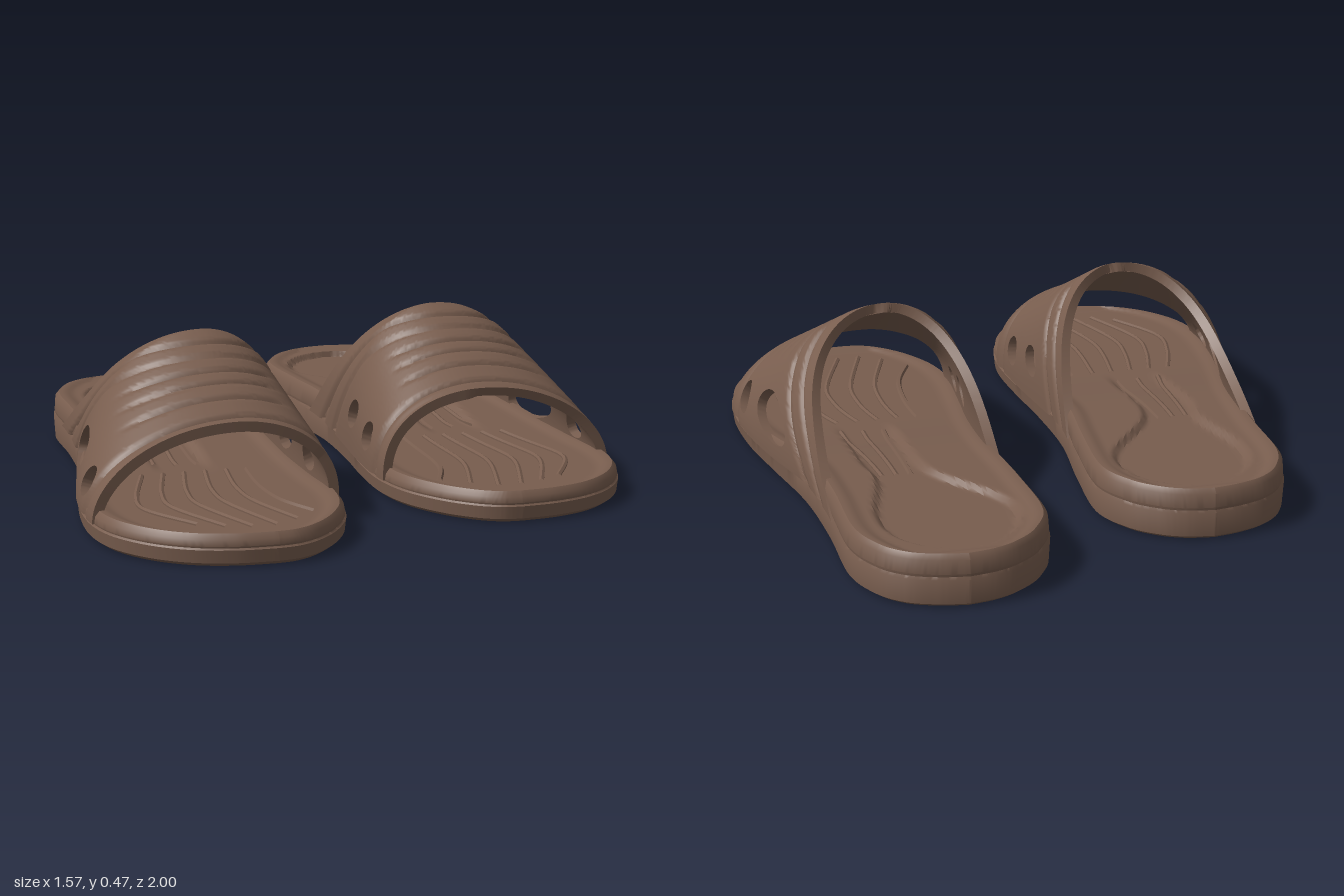
import * as THREE from 'three';
import { toCreasedNormals } from 'three/addons/utils/BufferGeometryUtils.js';

const rubber = new THREE.MeshStandardMaterial({ color: 0x785d4e });
rubber.name = 'brown rubber';

const ss = (x, a, b) => THREE.MathUtils.smoothstep(x, a, b);
const lerp = THREE.MathUtils.lerp;
const clamp = THREE.MathUtils.clamp;

// Footprint: inner and outer edge at stations from heel tip to toe tip
const Z = [-1, -.985, -.95, -.88, -.75, -.5, -.25, 0, .2, .4, .55, .67, .75, .79, .8];
const XL = [.37, .29, .22, .15, .097, .108, .13, .12, .1, .09, .115, .175, .245, .31, .37];
const XR = [.37, .45, .532, .597, .643, .65, .672, .725, .765, .78, .755, .685, .59, .48, .37];
const N = 160;
const edge = (xs) => new THREE.SplineCurve(xs.map((x, i) => new THREE.Vector2(x, Z[i]))).getPoints(N);
const left = edge(XL), right = edge(XR);
function edgeX(side, z) {
  let i = 1;
  while (i < N && side[i].y < z) i++;
  const a = side[i - 1], b = side[i];
  return lerp(a.x, b.x, clamp((z - a.y) / (b.y - a.y), 0, 1));
}

// Height of the rim, and of the footbed with its heel recess
const rimY = (z) => .088 + .062 * (1 - ss(z, -.4, .3));
function bedY(x, z) {
  const d = Math.min(x - edgeX(left, z), edgeX(right, z) - x, z + 1, .8 - z);
  const half = z < -.7 ? .195 * Math.sqrt(Math.max(0, 1 - ((z + .7) / .225) ** 2))
    : lerp(.195, .085, ss(z, -.68, -.36));
  const mid = lerp(.36, .44, ss(z, -.7, -.25));
  const recess = ss(half - Math.abs(x - mid), 0, .022) * (1 - ss(z, -.05, .12));
  return rimY(z) - .01 * ss(d, .03, .07) - .018 * recess;
}

// Collects quads with counter-clockwise corners
function mesher() {
  const pos = [];
  const tri = (...c) => c.forEach((p) => pos.push(p.x, p.y, p.z));
  return {
    quad(a, b, c, d) { tri(a, b, c); tri(a, c, d); },
    build() {
      const g = new THREE.BufferGeometry();
      g.setAttribute('position', new THREE.Float32BufferAttribute(pos, 3));
      return g;
    },
  };
}

// Sole: side wall rings, footbed and flat underside
function soleGeometry() {
  const m = mesher();
  const loop = [...left, ...right.slice(1, N).reverse()];
  const L = loop.length;
  const ring = (inset, yf) => loop.map((p, i) => {
    const t = loop[(i + 1) % L].clone().sub(loop[(i + L - 1) % L]).normalize();
    return new THREE.Vector3(p.x + t.y * inset, yf(rimY(p.y)), p.y - t.x * inset);
  });
  const rings = [
    ring(.018, () => .004), ring(.004, () => .014), ring(0, (h) => h * .55),
    ring(.005, (h) => h * .6), ring(.003, (h) => h * .65), ring(.006, (h) => h - .014),
    ring(.018, (h) => h),
  ];
  for (let k = 0; k < rings.length - 1; k++)
    for (let i = 0; i < L; i++) {
      const j = (i + 1) % L;
      m.quad(rings[k][i], rings[k][j], rings[k + 1][j], rings[k + 1][i]);
    }
  const span = (r, i, u) => r[i].clone().lerp(r[(L - i) % L], u);
  const top = rings[rings.length - 1], U = 50;
  const bed = (i, k) => {
    const p = span(top, i, k / U);
    if (k > 0 && k < U && i > 0 && i < N) p.y = bedY(p.x, p.z);
    return p;
  };
  for (let i = 0; i < N; i++) {
    for (let k = 0; k < U; k++) m.quad(bed(i, k), bed(i + 1, k), bed(i + 1, k + 1), bed(i, k + 1));
    m.quad(span(rings[0], i, 0), span(rings[0], i, 1), span(rings[0], i + 1, 1), span(rings[0], i + 1, 0));
  }
  return m.build();
}

// Strap surface: u runs over the foot from inner to outer side, v from front to rear.
// The inner side is steep, the outer side slopes more gently.
function strapPoint(fit, u, v) {
  const t = Math.PI * (1 - u), c = Math.cos(t);
  const s = Math.sin(t) ** lerp(.85, 1.1, ss(u, .3, .7));
  const drop = .42 * (1 - s);
  const zRear = fit.peak - lerp(.9, 1.1, u) * drop - lerp(.15, .9, u) * drop * drop;
  const z = lerp(lerp(fit.inner, fit.outer, u), zRear, v);
  const h = lerp(.42, .24, clamp((z - fit.peak) / .37, 0, 1));
  const a = edgeX(left, z) - .003, b = edgeX(right, z) + .003;
  const top = lerp(a, b, .42);
  const y = .055 + .03 * (1 - ss(z, -.45, .1)) * (1 - s) + h * s;
  return new THREE.Vector3(top + c * (c < 0 ? top - a : b - top), y, z);
}

// Grooves pressed into the outside: [v, full width?]
const grooves = [[.09, 1], [.28, 0], [.43, 0], [.56, 0], [.71, 1], [.86, 1]];
function grooveDepth(u, v) {
  const centre = ss(u, .25, .35) * (1 - ss(u, .65, .78));
  return grooves.reduce((d, [g, full]) =>
    d + .009 * Math.exp(-(((v - g) / .018) ** 2)) * (full ? 1 : centre), 0);
}

// Side windows: [u, v, radius u, radius v]
const windows = [
  [.899, .175, .05, .058], [.903, .49, .055, .14],
  [.076, .24, .043, .065], [.076, .5, .036, .07],
];

function strapGeometry(fit) {
  const U = 144, V = 64, thick = .028, m = mesher();
  const radius = (w, u, v) => Math.hypot((u - w[0]) / w[2], (v - w[1]) / w[3]);
  const solid = (i, j) => i >= 0 && j >= 0 && i < U && j < V &&
    windows.every((w) => radius(w, (i + .5) / U, (j + .5) / V) > 1);
  const grid = [];
  for (let i = 0; i <= U; i++) {
    grid.push([]);
    for (let j = 0; j <= V; j++) {
      let u = i / U, v = j / V;
      // Vertices bordering a window slide onto its oval
      const around = [[i, j], [i - 1, j], [i, j - 1], [i - 1, j - 1]];
      if (i > 0 && j > 0 && i < U && j < V && around.some(([a, b]) => !solid(a, b))) {
        const w = windows.reduce((p, q) => (radius(q, u, v) < radius(p, u, v) ? q : p));
        const r = radius(w, u, v) || 1;
        u = w[0] + (u - w[0]) / r;
        v = w[1] + (v - w[1]) / r;
      }
      const e = .004;
      const du = strapPoint(fit, Math.min(1, u + e), v).sub(strapPoint(fit, Math.max(0, u - e), v));
      const dv = strapPoint(fit, u, Math.min(1, v + e)).sub(strapPoint(fit, u, Math.max(0, v - e)));
      const n = du.cross(dv).normalize(), p = strapPoint(fit, u, v);
      grid[i].push({
        out: p.clone().addScaledVector(n, -grooveDepth(u, v)),
        inn: p.clone().addScaledVector(n, -thick),
      });
    }
  }
  for (let i = 0; i < U; i++)
    for (let j = 0; j < V; j++) {
      if (!solid(i, j)) continue;
      const c = [grid[i][j], grid[i + 1][j], grid[i + 1][j + 1], grid[i][j + 1]];
      m.quad(c[0].out, c[1].out, c[2].out, c[3].out);
      m.quad(c[3].inn, c[2].inn, c[1].inn, c[0].inn);
      // Thickness walls along open edges
      [[i, j - 1], [i + 1, j], [i, j + 1], [i - 1, j]].forEach(([a, b], k) => {
        const p = c[k], q = c[(k + 1) % 4];
        if (!solid(a, b)) m.quad(q.out, p.out, p.inn, q.inn);
      });
    }
  return m.build();
}

// Raised rib lying on the footbed along [x, z] points
function ribGeometry(points) {
  const flat = new THREE.SplineCurve(points.map(([x, z]) => new THREE.Vector2(x, z)));
  const path = flat.getPoints(14).map((p) => new THREE.Vector3(p.x, bedY(p.x, p.y), p.y));
  return new THREE.TubeGeometry(new THREE.CatmullRomCurve3(path), 28, .008, 6);
}

// Bakes the mirror image for the other foot and sharpens the edges
function finish(geo, side) {
  const g = geo.index ? geo.toNonIndexed() : geo.clone();
  if (side < 0) {
    g.scale(-1, 1, 1);
    const p = g.attributes.position, a = new THREE.Vector3(), b = new THREE.Vector3();
    for (let i = 0; i < p.count; i += 3) {
      a.fromBufferAttribute(p, i + 1);
      b.fromBufferAttribute(p, i + 2);
      p.setXYZ(i + 1, b.x, b.y, b.z);
      p.setXYZ(i + 2, a.x, a.y, a.z);
    }
  }
  return toCreasedNormals(g, .7);
}

export function createModel() {
  const model = new THREE.Group();
  model.name = 'pairOfSlides';
  const parts = [['sole', soleGeometry()]];
  [[.395, .39], [.435, .45], [.475, .515]].forEach(([a, b]) =>
    parts.push(['archRib', ribGeometry([[a, -.38], [(a + b) / 2, -.15], [b, .04]])]));
  [.58, .65, .69, .69, .67, .63].forEach((end, i) =>
    parts.push(['toeRib', ribGeometry([
      [.27 + .06 * i, .12], [.275 + .07 * i, .3], [.26 + .075 * i, .45], [.21 + .066 * i, end],
    ])]));
  // Each strap sits a little differently on its sole
  const fits = { 1: { inner: .45, outer: .41, peak: .06 }, '-1': { inner: .395, outer: .455, peak: .035 } };
  for (const side of [1, -1]) {
    const shoe = new THREE.Group();
    shoe.name = side > 0 ? 'leftSlide' : 'rightSlide';
    for (const [name, geo] of [...parts, ['strap', strapGeometry(fits[side])]]) {
      const mesh = new THREE.Mesh(finish(geo, side), rubber);
      mesh.name = name;
      shoe.add(mesh);
    }
    if (side < 0) {
      shoe.position.z = .222;
      shoe.scale.z = .973;
    }
    model.add(shoe);
  }
  return model;
}
